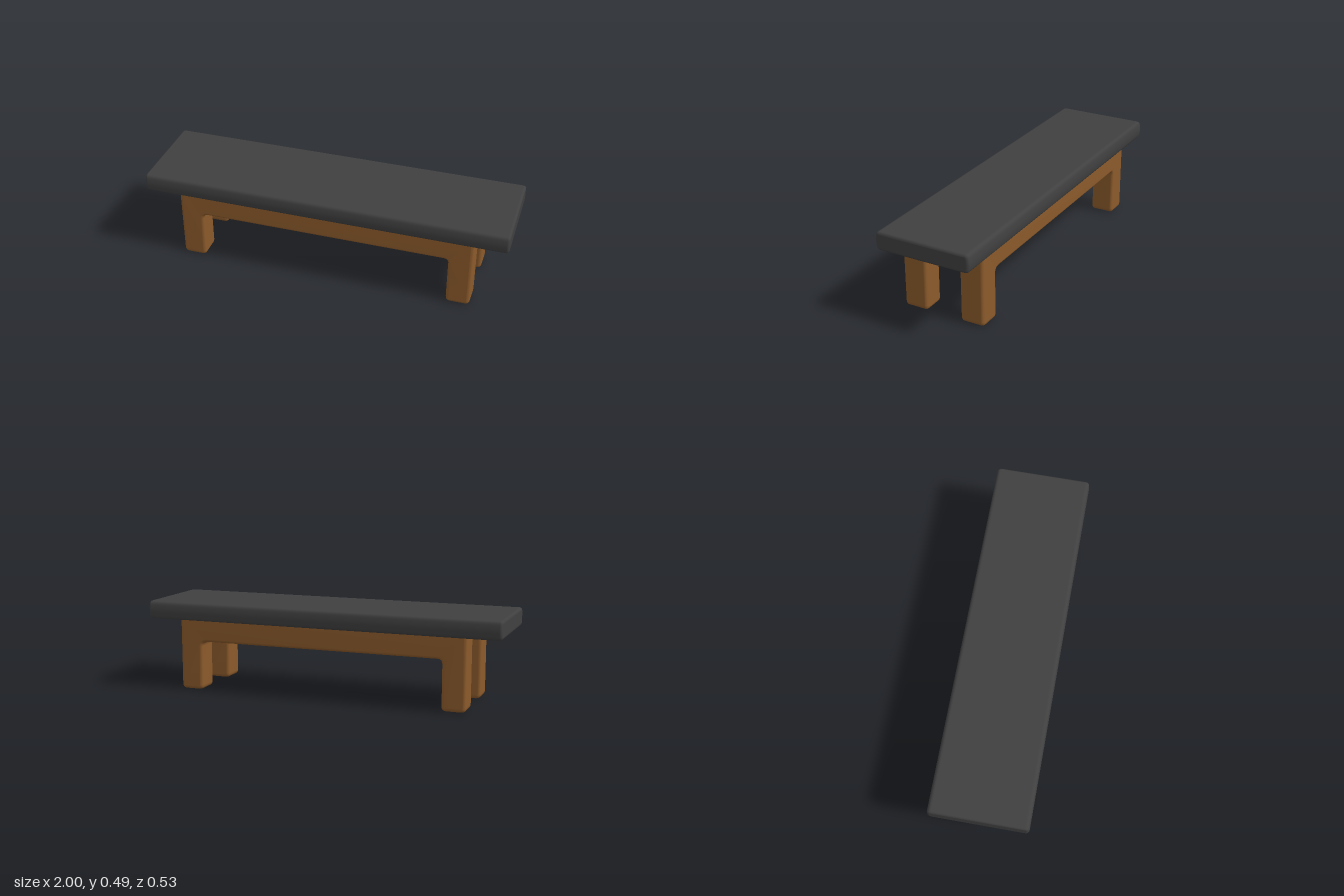
import * as THREE from 'three';
import { mergeVertices } from 'three/addons/utils/BufferGeometryUtils.js';

// Closed outline with every corner rounded by radius r
function roundedOutline(points, r) {
  const shape = new THREE.Shape();
  const v = points.map(([x, y]) => new THREE.Vector2(x, y));
  v.forEach((p, i) => {
    const toward = (q) => p.clone().add(q.clone().sub(p).setLength(r));
    const a = toward(v[(i + v.length - 1) % v.length]);
    const b = toward(v[(i + 1) % v.length]);
    if (i === 0) shape.moveTo(a.x, a.y);
    else shape.lineTo(a.x, a.y);
    shape.quadraticCurveTo(p.x, p.y, b.x, b.y);
  });
  shape.closePath();
  return shape;
}

// Softly bevelled solid, centred on z, with smooth normals
function softExtrude(shape, depth, bevel) {
  let g = new THREE.ExtrudeGeometry(shape, {
    depth: depth - 2 * bevel, curveSegments: 4, bevelEnabled: true,
    bevelThickness: bevel, bevelSize: bevel, bevelOffset: -bevel, bevelSegments: 3,
  });
  g.translate(0, 0, bevel - depth / 2);
  g.deleteAttribute('uv');
  g.deleteAttribute('normal');
  g = mergeVertices(g, 1e-4);
  g.computeVertexNormals();
  return g;
}

export function createModel() {
  const wood = new THREE.MeshStandardMaterial({ color: 0x8b5a2b });
  wood.name = 'brown wood';
  const charcoal = new THREE.MeshStandardMaterial({ color: 0x404040 });
  charcoal.name = 'charcoal';

  const bench = new THREE.Group();
  bench.name = 'bench';

  // Seat slab: slightly bulging cross-section run along x
  const profile = roundedOutline([
    [-0.259, 0.393], [0.259, 0.393], [0.266, 0.443],
    [0.259, 0.493], [-0.259, 0.493], [-0.266, 0.443],
  ], 0.02);
  const seat = new THREE.Mesh(softExtrude(profile, 2, 0.014), charcoal);
  seat.geometry.rotateY(Math.PI / 2);
  seat.name = 'seat';
  bench.add(seat);

  // Two identical frames: a pair of legs joined by a rail, topped inside the seat
  const outline = roundedOutline([
    [-0.815, 0], [-0.685, 0], [-0.685, 0.273], [0.69, 0.273],
    [0.69, 0], [0.82, 0], [0.82, 0.425], [-0.815, 0.425],
  ], 0.026);
  const frameGeometry = softExtrude(outline, 0.132, 0.016);
  for (const [name, z] of [['frontFrame', 0.169], ['backFrame', -0.163]]) {
    const frame = new THREE.Mesh(frameGeometry, wood);
    frame.name = name;
    frame.position.z = z;
    bench.add(frame);
  }
  return bench;
}
